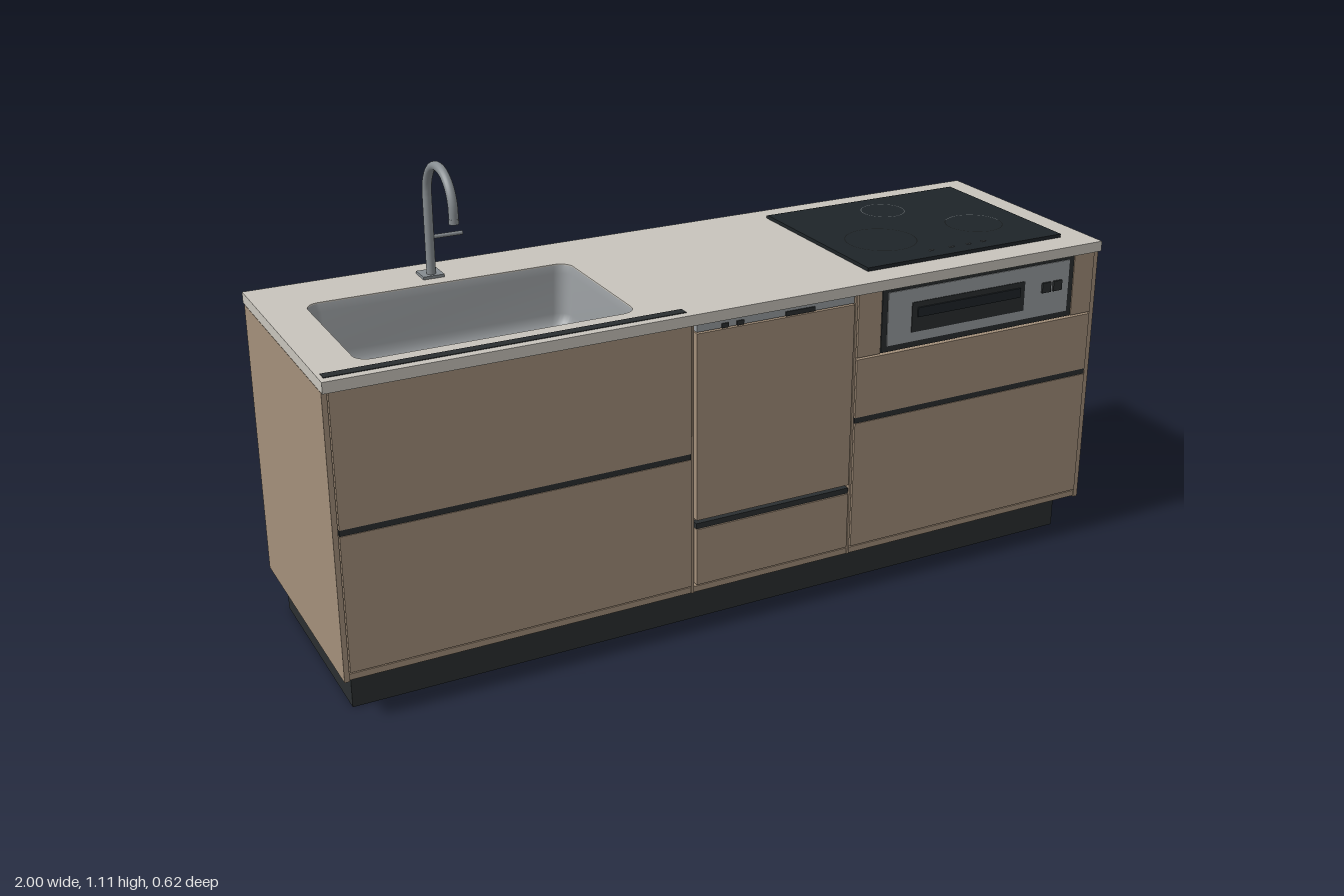
import * as THREE from 'three';

const mat = (color, side = THREE.FrontSide) => new THREE.MeshStandardMaterial({ color, side });
const WOOD = mat(0xa38f7a), STONE = mat(0xc8c4bc), DARK = mat(0x2a2e30), GLASS = mat(0x1e2428);
const STEEL = mat(0x999da0), STEEL2 = mat(0x999da0, THREE.DoubleSide), CHROME = mat(0x868c90), MARK = mat(0x5c6265);

// Points round a rounded rectangle, as [x, z]
function roundedLoop(x0, x1, z0, z1, r, n = 6) {
  const pts = [];
  [[x1 - r, z1 - r], [x0 + r, z1 - r], [x0 + r, z0 + r], [x1 - r, z0 + r]].forEach(([cx, cz], q) => {
    for (let i = 0; i <= n; i++) {
      const a = (q + i / n) * Math.PI / 2;
      pts.push([cx + r * Math.cos(a), cz + r * Math.sin(a)]);
    }
  });
  return pts;
}

export function createModel() {
  const root = new THREE.Group();
  const add = (name, geometry, material, x = 0, y = 0, z = 0) => {
    const m = new THREE.Mesh(geometry, material);
    m.name = name;
    m.position.set(x, y, z);
    root.add(m);
    return m;
  };
  // Box given by its limits
  const box = (name, material, x0, x1, y0, y1, z0, z1) =>
    add(name, new THREE.BoxGeometry(x1 - x0, y1 - y0, z1 - z0), material,
      (x0 + x1) / 2, (y0 + y1) / 2, (z0 + z1) / 2);

  // Plinth and cabinet shell
  box('plinth', DARK, -0.97, 0.97, 0, 0.105, -0.263, 0.24);
  for (const s of [-1, 1]) {
    box('endPanel', WOOD, Math.min(s, s * 0.988), Math.max(s, s * 0.988), 0.103, 0.785, -0.297, 0.299);
  }
  box('backPanel', WOOD, -0.997, 0.997, 0.106, 0.785, -0.302, -0.29);
  box('cabinetFloor', WOOD, -0.988, 0.988, 0.105, 0.12, -0.29, 0.296);
  box('frontBacking', WOOD, -0.988, 0.988, 0.12, 0.785, 0.27, 0.28);
  for (const x of [-0.147, 0.286]) box('divider', WOOD, x - 0.003, x + 0.003, 0.105, 0.785, 0.28, 0.299);

  // Drawer and door fronts: x0, x1, y0, y1
  const fronts = [
    [-0.986, -0.152, 0.126, 0.455], [-0.986, -0.152, 0.47, 0.783],
    [-0.138, 0.279, 0.126, 0.272], [-0.138, 0.279, 0.296, 0.762],
    [0.291, 0.986, 0.126, 0.455], [0.291, 0.986, 0.47, 0.62],
    [0.291, 0.355, 0.625, 0.783], [0.925, 0.986, 0.625, 0.783],
  ];
  fronts.forEach(([x0, x1, y0, y1]) => box('drawerFront', WOOD, x0, x1, y0, y1, 0.28, 0.302));

  // Dark finger-grip channels
  for (const [x0, x1, y0, y1] of [[-0.986, -0.152, 0.455, 0.47], [0.291, 0.986, 0.455, 0.47],
    [-0.138, 0.279, 0.273, 0.287]]) {
    box('gripChannel', DARK, x0, x1, y0, y1, 0.28, 0.3);
  }

  // Dishwasher control strip
  box('dishwasherStrip', STEEL, -0.138, 0.279, 0.765, 0.784, 0.28, 0.3);
  for (const [x0, x1] of [[-0.075, -0.058], [-0.036, -0.018], [0.092, 0.17]]) {
    box('dishwasherButton', DARK, x0, x1, 0.765, 0.776, 0.3, 0.303);
  }

  // Grill front
  box('grillFrame', DARK, 0.357, 0.923, 0.626, 0.785, 0.28, 0.302);
  box('grillFace', STEEL, 0.372, 0.908, 0.641, 0.776, 0.3, 0.304);
  box('grillWindow', DARK, 0.44, 0.772, 0.665, 0.741, 0.303, 0.306);
  box('grillHandle', GLASS, 0.455, 0.757, 0.703, 0.727, 0.305, 0.31);
  for (const x of [0.838, 0.872]) box('grillKnob', DARK, x - 0.013, x + 0.013, 0.702, 0.728, 0.303, 0.309);

  // Countertop with the sink opening
  const sink = { x0: -0.9, x1: -0.25, z0: -0.157, z1: 0.23 };
  const top = new THREE.Shape([[-1, -0.31], [1, -0.31], [1, 0.308], [-1, 0.308]].map(p => new THREE.Vector2(...p)));
  top.holes.push(new THREE.Path(roundedLoop(sink.x0, sink.x1, sink.z0, sink.z1, 0.035)
    .map(([x, z]) => new THREE.Vector2(x, -z))));
  const slab = new THREE.ExtrudeGeometry(top, { depth: 0.026, bevelEnabled: false });
  slab.rotateX(-Math.PI / 2);
  add('countertop', slab, STONE, 0, 0.786, 0);
  box('counterRail', DARK, -0.99, -0.158, 0.806, 0.8135, 0.265, 0.289);

  // Sink basin lofted from rounded rectangles: inset, height
  const rings = [[0, 0.809], [0.004, 0.79], [0.009, 0.69], [0.014, 0.67], [0.024, 0.657], [0.038, 0.65], [0.17, 0.647]];
  const pos = [], idx = [];
  let count = 0;
  rings.forEach(([d, y], k) => {
    const loop = roundedLoop(sink.x0 + d, sink.x1 - d, sink.z0 + d, sink.z1 - d, k === rings.length - 1 ? 0.015 : 0.035);
    count = loop.length;
    loop.forEach(([x, z]) => pos.push(x, y, z));
  });
  for (let k = 0; k < rings.length - 1; k++) {
    for (let i = 0; i < count; i++) {
      const a = k * count + i, b = k * count + (i + 1) % count;
      idx.push(a, b, a + count, b, b + count, a + count);
    }
  }
  const last = (rings.length - 1) * count;
  for (let i = 1; i < count - 1; i++) idx.push(last, last + i + 1, last + i);
  const basin = new THREE.BufferGeometry();
  basin.setAttribute('position', new THREE.Float32BufferAttribute(pos, 3));
  basin.setIndex(idx);
  basin.computeVertexNormals();
  add('sinkBasin', basin, STEEL2);

  // Drain with a slotted grate
  add('drain', new THREE.CylinderGeometry(0.026, 0.026, 0.006, 24), DARK, -0.395, 0.65, -0.025);
  add('drainRim', new THREE.TorusGeometry(0.028, 0.004, 6, 24).rotateX(Math.PI / 2), CHROME, -0.395, 0.652, -0.025);
  for (let i = -1; i <= 1; i++) {
    box('drainBar', CHROME, -0.397 + i * 0.014, -0.393 + i * 0.014, 0.65, 0.656, -0.043, -0.007);
  }

  // Gooseneck tap
  const fx = -0.575, fz = -0.212, r = 0.086, cy = 1.013;
  const path = new THREE.CurvePath();
  const v = (y, z) => new THREE.Vector3(fx, y, z);
  const arc = [];
  for (let i = 0; i <= 16; i++) {
    const a = Math.PI * (1 - i / 16);
    arc.push(v(cy + r * Math.sin(a), fz + r + r * Math.cos(a)));
  }
  path.add(new THREE.LineCurve3(v(0.815, fz), v(cy, fz)));
  path.add(new THREE.CatmullRomCurve3(arc));
  path.add(new THREE.LineCurve3(v(cy, fz + 2 * r), v(0.988, fz + 2 * r)));
  add('tapSpout', new THREE.TubeGeometry(path, 64, 0.0112, 16), CHROME);
  add('tapOutlet', new THREE.CylinderGeometry(0.0115, 0.0115, 0.012, 16), CHROME, fx, 0.994, fz + 2 * r);
  box('tapBase', CHROME, fx - 0.026, fx + 0.026, 0.811, 0.819, fz - 0.033, fz + 0.019);
  add('tapLever', new THREE.CylinderGeometry(0.005, 0.005, 0.08, 12).rotateZ(Math.PI / 2), CHROME, fx + 0.042, 0.908, fz);

  // Cooktop with cooking-zone rings and touch marks
  box('cooktop', GLASS, 0.355, 0.928, 0.811, 0.821, -0.24, 0.237);
  box('cooktopBackTrim', DARK, 0.355, 0.928, 0.811, 0.819, -0.246, -0.24);
  for (const [x, z, rad] of [[0.5, 0.07, 0.09], [0.785, 0.065, 0.073], [0.64, -0.135, 0.057]]) {
    add('cookingZone', new THREE.RingGeometry(rad - 0.0015, rad + 0.0005, 48).rotateX(-Math.PI / 2), MARK, x, 0.8222, z);
  }
  for (const x of [0.565, 0.625, 0.675, 0.72]) {
    box('touchMark', MARK, x - 0.006, x + 0.006, 0.82, 0.8225, 0.193, 0.198);
  }
  return root;
}
